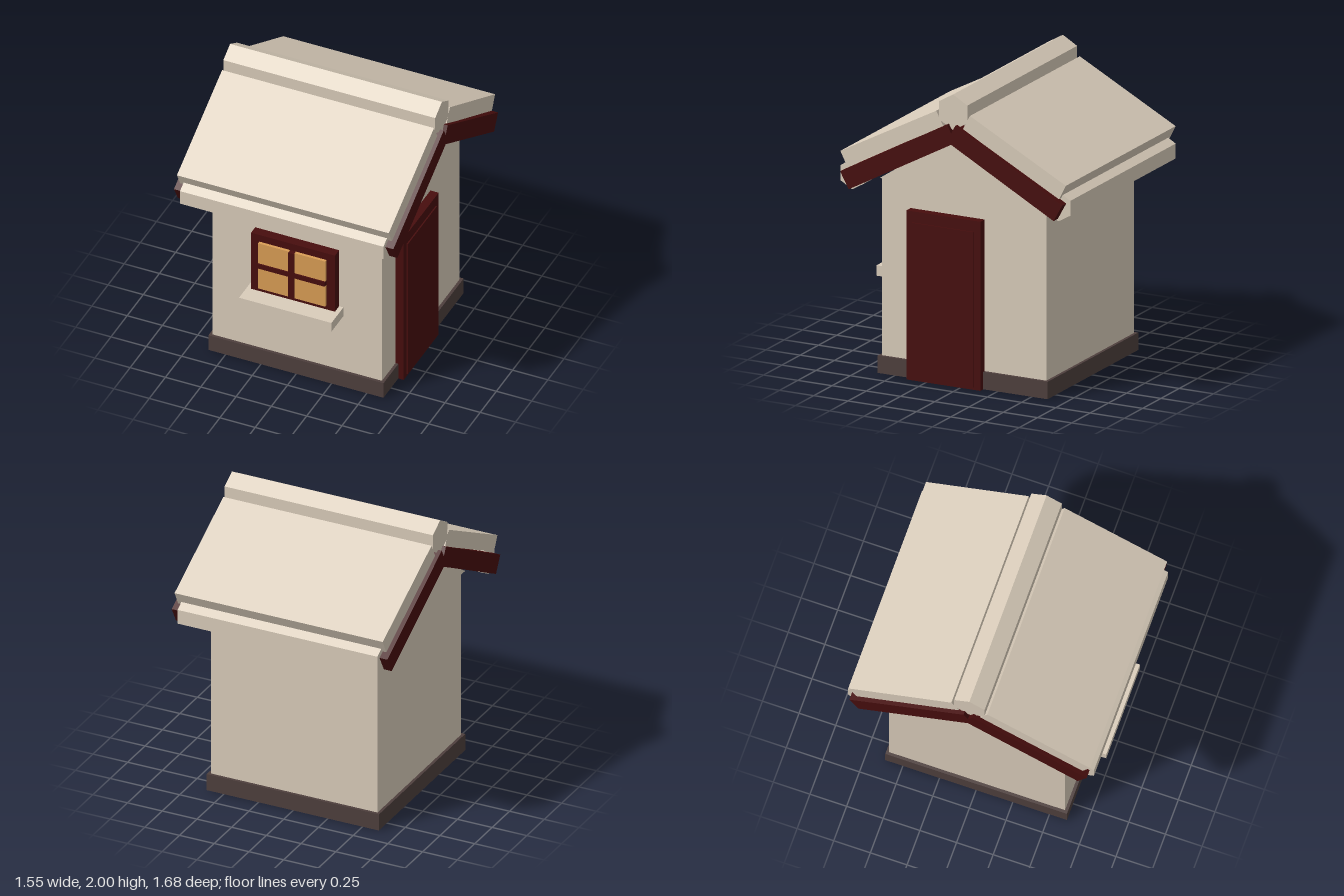
import * as THREE from 'three';

const material = (name, color) => {
  const m = new THREE.MeshStandardMaterial({ color });
  m.name = name;
  return m;
};

export function createModel() {
  const house = new THREE.Group();
  house.name = 'house';

  const cream = material('cream plaster', 0xd9ccba);
  const maroon = material('maroon wood', 0x470d0d);
  const stone = material('dark stone', 0x4e3f3d);
  const amber = material('amber glass', 0xd99d55);

  const add = (name, geometry, mat, parent = house) => {
    const mesh = new THREE.Mesh(geometry, mat);
    mesh.name = name;
    parent.add(mesh);
    return mesh;
  };

  // Box given by its limits on each axis
  const box = (name, mat, [x0, x1], [y0, y1], [z0, z1], parent) => {
    const g = new THREE.BoxGeometry(x1 - x0, y1 - y0, z1 - z0);
    g.translate((x0 + x1) / 2, (y0 + y1) / 2, (z0 + z1) / 2);
    return add(name, g, mat, parent);
  };

  // Outline of [z, y] points extruded along x
  const prism = (name, mat, points, x0, x1, parent) => {
    const shape = new THREE.Shape(points.map(([z, y]) => new THREE.Vector2(-z, y)));
    const g = new THREE.ExtrudeGeometry(shape, { depth: x1 - x0, bevelEnabled: false });
    g.rotateY(Math.PI / 2).translate(x0, 0, 0);
    return add(name, g, mat, parent);
  };

  const hexagon = (z, y, r) => Array.from({ length: 6 }, (_, i) => {
    const a = Math.PI / 2 + i * Math.PI / 3;
    return [z + r * Math.cos(a), y + r * Math.sin(a)];
  });

  // Walls, plinth and gables
  box('walls', cream, [-0.6, 0.6], [0, 1.32], [-0.6, 0.6]);
  box('plinth', stone, [-0.62, 0.62], [0.003, 0.12], [-0.62, 0.62]);
  prism('gable', cream, [[0.6, 1.32], [-0.6, 1.32], [0, 1.72]], -0.63, 0.63);

  // Roof: both slopes with eave beams and barge boards
  const roof = new THREE.Group();
  roof.name = 'roof';
  house.add(roof);
  const slab = [[0.823, 1.503], [0.123, 1.873], [0.071, 1.775], [0.773, 1.405]];
  const board = [[0.81, 1.374], [0.03, 1.8], [-0.031, 1.685], [0.748, 1.262]];
  for (const s of [1, -1]) {
    const flip = (points) => points.map(([z, y]) => [z * s, y]);
    prism('roofSlope', cream, flip(slab), -0.75, 0.75, roof);
    prism('eaveBeam', cream, hexagon(0.753 * s, 1.346, 0.1), -0.72, 0.72, roof);
    prism('bargeBoardLeft', maroon, flip(board), 0.7, 0.777, roof);
    prism('bargeBoardRight', maroon, flip(board), -0.777, -0.7, roof);
  }
  prism('ridgeBeam', cream, hexagon(0, 1.88, 0.12), -0.75, 0.75, roof);

  // Door with a raised panel
  const door = new THREE.Group();
  door.name = 'door';
  house.add(door);
  box('doorFrame', maroon, [0.59, 0.658], [0.002, 1.14], [-0.15, 0.39], door);
  box('doorPanel', maroon, [0.65, 0.667], [0.02, 1.065], [-0.105, 0.345], door);

  // Window with four panes, glazing bars and a sill
  const win = new THREE.Group();
  win.name = 'window';
  house.add(win);
  box('windowFrame', maroon, [-0.297, 0.297], [0.62, 1.075], [0.6, 0.665], win);
  for (const [x0, x1] of [[-0.238, -0.02], [0.02, 0.238]]) {
    for (const [y0, y1] of [[0.66, 0.827], [0.862, 1.022]]) {
      box('pane', amber, [x0, x1], [y0, y1], [0.66, 0.685], win);
    }
  }
  box('verticalBar', maroon, [-0.02, 0.02], [0.66, 1.022], [0.66, 0.697], win);
  box('horizontalBar', maroon, [-0.238, 0.238], [0.827, 0.862], [0.66, 0.695], win);
  box('sill', cream, [-0.327, 0.327], [0.555, 0.625], [0.6, 0.785], win);

  return house;
}
